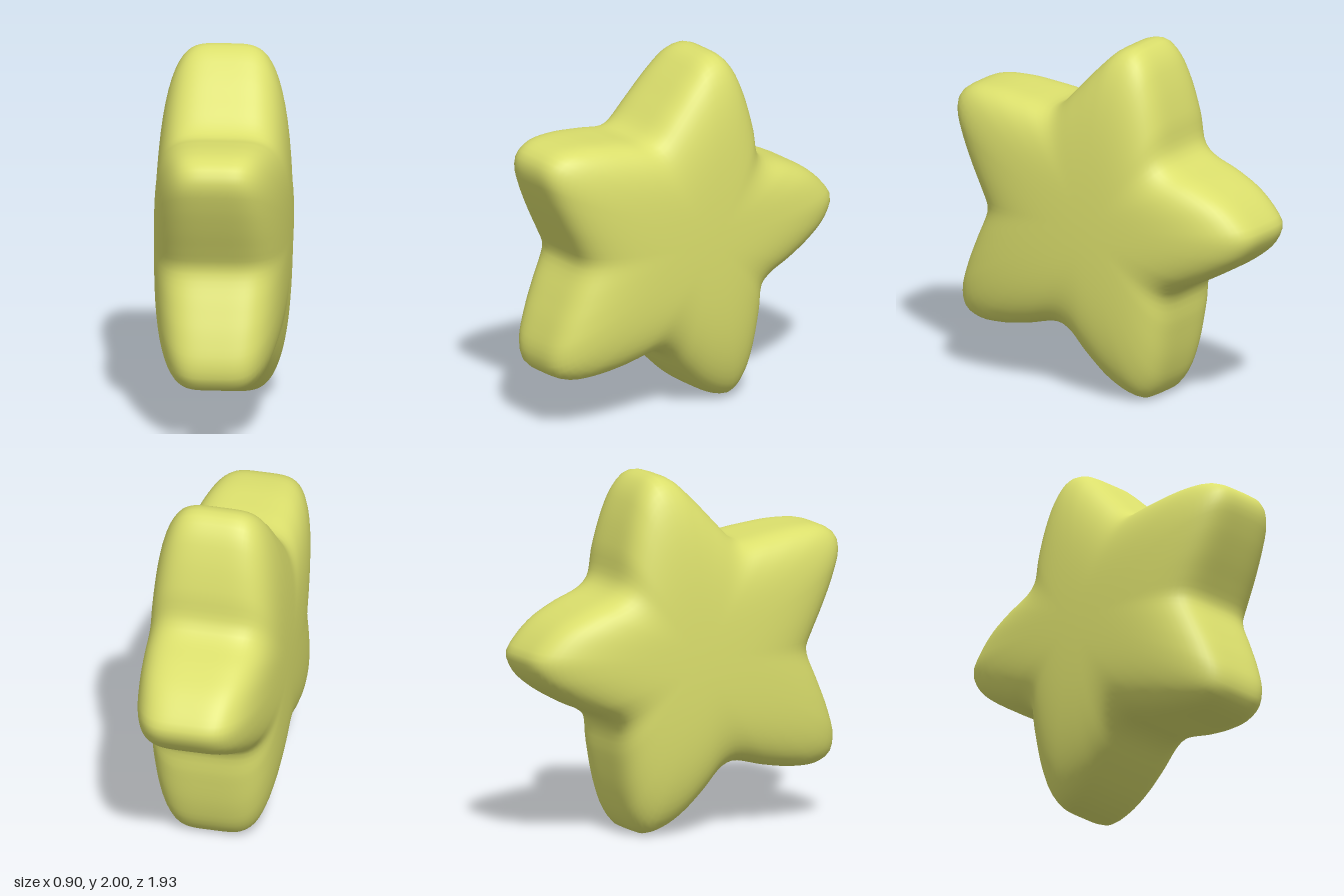
import * as THREE from 'three';
import { mergeVertices } from 'three/addons/utils/BufferGeometryUtils.js';

// Star outline as (z, y) pairs, starting at the top arm
const OUTLINE = [
  // top arm, rear side
  -0.1, 1.985, -0.2, 1.998, -0.275, 1.93, -0.335, 1.8, -0.39, 1.6, -0.42, 1.42,
  // rear arm
  -0.48, 1.36, -0.65, 1.29, -0.8, 1.21, -0.91, 1.11, -0.96, 1.03, -0.92, 0.93,
  -0.82, 0.84, -0.65, 0.74, -0.52, 0.68, -0.45, 0.62,
  // bottom arm
  -0.43, 0.45, -0.39, 0.22, -0.34, 0.08, -0.27, 0.005, -0.18, 0.015, -0.06, 0.08, 0.07, 0.2, 0.19, 0.33,
  // lower front arm
  0.28, 0.365, 0.5, 0.32, 0.67, 0.295, 0.82, 0.3, 0.91, 0.35, 0.93, 0.45, 0.89, 0.6, 0.82, 0.77, 0.75, 0.93,
  // upper front arm
  0.745, 0.98, 0.78, 1.06, 0.86, 1.22, 0.93, 1.38, 0.965, 1.5, 0.95, 1.575, 0.87, 1.63,
  0.72, 1.645, 0.5, 1.625, 0.33, 1.605,
  // top arm, front side
  0.27, 1.63, 0.15, 1.75, 0.005, 1.9,
];
const YAW = 0.2;      // the star is turned slightly about the vertical
const POWER = 4.5;    // boxiness of the pillow section
const RINGS = 56, SEGMENTS = 160;

function starGeometry() {
  const points = [];
  for (let i = 0; i < OUTLINE.length; i += 2) {
    points.push(new THREE.Vector3(0, OUTLINE[i + 1] - 1, OUTLINE[i]));
  }
  const outline = new THREE.CatmullRomCurve3(points, true, 'centripetal').getSpacedPoints(SEGMENTS);
  const positions = [], index = [];
  // Scaled copies of the outline, from the middle of one face over the rim to the other
  for (let k = 0; k <= RINGS; k++) {
    const t = Math.PI * k / RINGS;
    const c = Math.cos(t), s = k % RINGS === 0 ? 0 : Math.sin(t);
    const reach = Math.pow(Math.pow(Math.abs(c), POWER) + Math.pow(s, POWER), -1 / POWER);
    const scale = s * reach, depth = c * reach;
    for (let j = 0; j < SEGMENTS; j++) {
      const y = outline[j].y * scale, z = outline[j].z * scale;
      const half = 0.375 - 0.07 * (y * y + z * z); // arms get thinner outward
      positions.push(depth * half, y, z);
      if (k === RINGS) continue;
      const a = k * SEGMENTS + j, b = k * SEGMENTS + (j + 1) % SEGMENTS;
      const d = a + SEGMENTS, e = b + SEGMENTS;
      if (k > 0) index.push(a, b, d);
      if (k < RINGS - 1) index.push(b, e, d);
    }
  }
  const geometry = new THREE.BufferGeometry();
  geometry.setAttribute('position', new THREE.Float32BufferAttribute(positions, 3));
  geometry.setIndex(index);
  const merged = mergeVertices(geometry, 1e-5);
  merged.computeVertexNormals();
  return merged;
}

export function createModel() {
  const group = new THREE.Group();
  group.name = 'puffyStar';
  const yellow = new THREE.MeshStandardMaterial({ color: 0xdbdf6c });
  yellow.name = 'soft yellow';

  // Puffy five-armed star body
  const star = new THREE.Mesh(starGeometry(), yellow);
  star.name = 'starBody';
  star.rotation.y = YAW;
  star.position.y = 1;
  group.add(star);
  return group;
}
